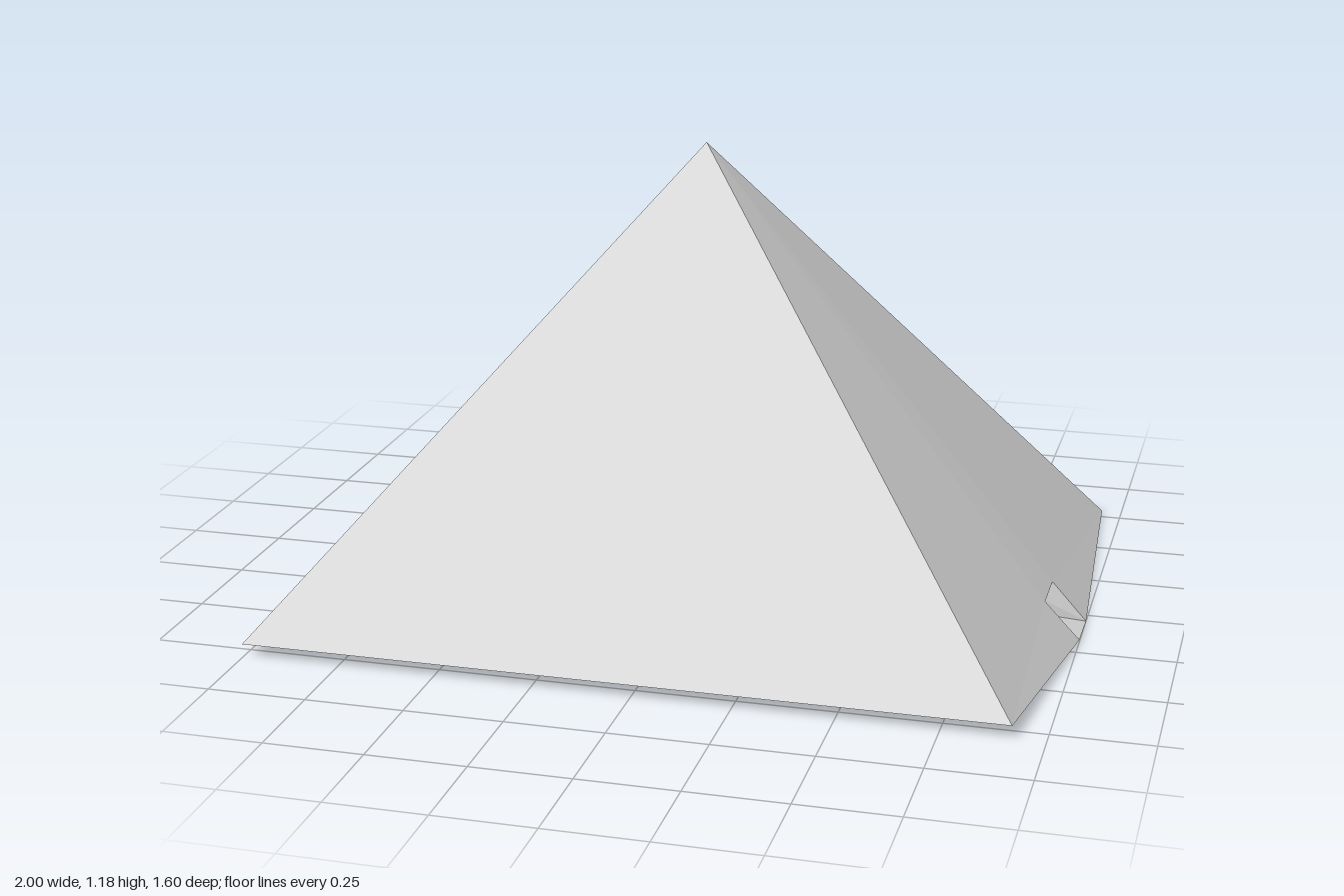
import * as THREE from 'three';

const material = new THREE.MeshStandardMaterial({ color: 0xcccccc, flatShading: true });

// Flat polygons (corners counter-clockwise from outside), each split as a fan
function facets(name, ...polygons) {
  const positions = [];
  for (const p of polygons) {
    for (let i = 1; i < p.length - 1; i++) positions.push(...p[0], ...p[i], ...p[i + 1]);
  }
  const geometry = new THREE.BufferGeometry();
  geometry.setAttribute('position', new THREE.Float32BufferAttribute(positions, 3));
  geometry.computeVertexNormals();
  const mesh = new THREE.Mesh(geometry, material);
  mesh.name = name;
  return mesh;
}

// Four walls and a back joining a mouth ring to an inner ring
function recess(name, mouth, inner) {
  const walls = mouth.map((m, i) => {
    const j = (i + 1) % 4;
    return [m, mouth[j], inner[j], inner[i]];
  });
  return facets(name, ...walls, inner);
}

export function createModel() {
  const group = new THREE.Group();
  group.name = 'pyramid';

  const apex = [-0.03, 1.18, -0.05];
  const frontRight = [-1, 0.035, 0.8], frontLeft = [0.92, 0.035, 0.8];
  const backRight = [-0.97, 0.01, -0.8], backLeft = [0.945, 0, -0.8];

  // Doorway corners on the slightly bowed +x side
  const sillFront = [1, 0.005, 0.18], sillBack = [1, 0, 0.04];
  const lintelFront = [0.91, 0.1, 0.18], lintelBack = [0.91, 0.1, 0.04];

  group.add(
    facets('frontFace', [frontRight, frontLeft, apex]),
    facets('backFace', [backLeft, backRight, apex]),
    facets('base', [backRight, backLeft, sillBack, sillFront, frontLeft, frontRight]),
    facets('entranceFace',
      [frontLeft, sillFront, lintelFront], [frontLeft, lintelFront, apex],
      [lintelFront, lintelBack, apex],
      [sillBack, backLeft, lintelBack], [lintelBack, backLeft, apex]),
    recess('entrance',
      [sillFront, sillBack, lintelBack, lintelFront],
      [[0.89, 0.02, 0.16], [0.89, 0.02, 0.07], [0.87, 0.07, 0.07], [0.87, 0.07, 0.16]])
  );

  // -x face: a plane pierced by two shallow openings
  const plane = new THREE.Plane().setFromCoplanarPoints(
    ...[frontRight, apex, backRight].map((p) => new THREE.Vector3(...p)));
  const n = plane.normal;
  const xAt = (z, y) => -(plane.constant + n.y * y + n.z * z) / n.x;
  const inward = n.clone().multiplyScalar(n.x < 0 ? -1 : 1);

  const outline = new THREE.Shape(
    [backRight, frontRight, apex].map((p) => new THREE.Vector2(p[2], p[1])));
  const openings = [
    { name: 'upperOpening', z: [-0.06, 0.09], y: [0.786, 0.877], depth: 0.025 },
    { name: 'lowerOpening', z: [-0.01, 0.07], y: [0.03, 0.085], depth: 0.02 },
  ];
  for (const { name, z, y, depth } of openings) {
    const ring = [[z[0], y[0]], [z[1], y[0]], [z[1], y[1]], [z[0], y[1]]];
    outline.holes.push(new THREE.Path(ring.map((p) => new THREE.Vector2(...p))));
    const mouth = ring.map(([a, b]) => [xAt(a, b), b, a]);
    const inner = mouth.map((p) => new THREE.Vector3(...p).addScaledVector(inward, depth).toArray());
    group.add(recess(name, mouth, inner));
  }

  const side = new THREE.ShapeGeometry(outline);
  const pos = side.attributes.position;
  for (let i = 0; i < pos.count; i++) {
    const z = pos.getX(i), y = pos.getY(i);
    pos.setXYZ(i, xAt(z, y), y, z);
  }
  side.computeVertexNormals();
  const sideMesh = new THREE.Mesh(side, material);
  sideMesh.name = 'openingsFace';
  group.add(sideMesh);

  return group;
}
